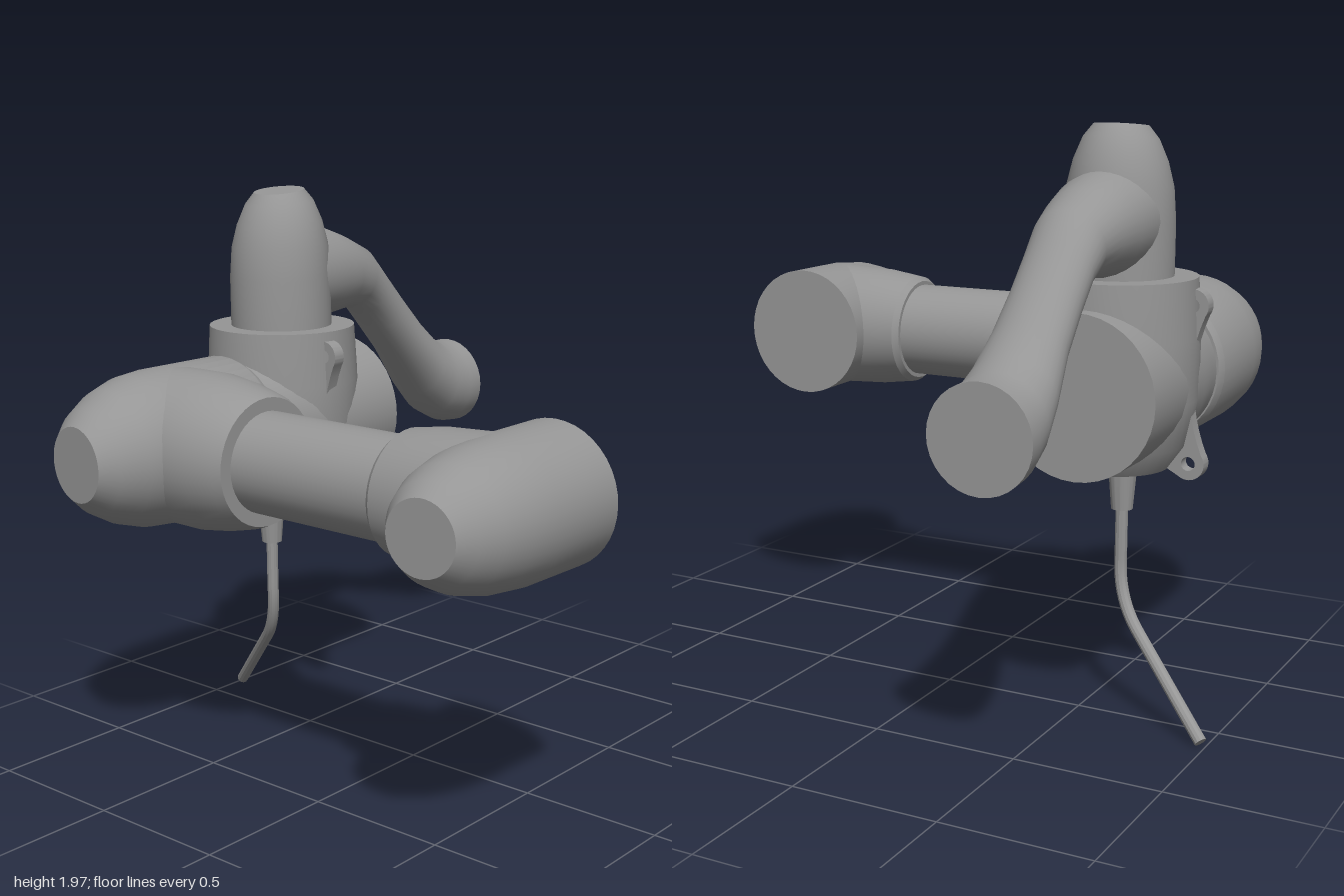
import * as THREE from 'three';
import { toCreasedNormals } from 'three/addons/utils/BufferGeometryUtils.js';

const grey = new THREE.MeshStandardMaterial({ color: 0x969696 });
grey.name = 'castGrey';

const BODY_X = -0.615, AXIS_Y = 1.15, ARM_Z = 0.53, ELBOW_X = 0.77;

function add(parent, name, geometry, x = 0, y = 0, z = 0) {
  const mesh = new THREE.Mesh(toCreasedNormals(geometry, 0.5), grey);
  mesh.name = name;
  mesh.position.set(x, y, z);
  parent.add(mesh);
  return mesh;
}

// Closed solid of revolution. Profile is [radius, distance along axis];
// tilt slants the far end: { from, x, z } are start distance and slopes.
function turned(profile, axis = 'y', tilt = null) {
  const first = profile[0], last = profile[profile.length - 1];
  const points = [[0, first[1]], ...profile, [0, last[1]]].map(p => new THREE.Vector2(...p));
  const g = new THREE.LatheGeometry(points, 40);
  if (tilt) {
    const p = g.attributes.position;
    for (let i = 0; i < p.count; i++) {
      const t = Math.max(0, (p.getY(i) - tilt.from) / (last[1] - tilt.from));
      p.setY(i, p.getY(i) + t * ((tilt.x || 0) * p.getX(i) + (tilt.z || 0) * p.getZ(i)));
    }
  }
  if (axis === 'z') g.rotateX(Math.PI / 2);
  if (axis === 'x') g.rotateZ(-Math.PI / 2);
  return g;
}

// Mounting plate with four holed ears joined by concave edges
function flangeGeometry() {
  const shape = new THREE.Shape();
  const ears = [[0.25, 0.255], [-0.25, 0.255], [-0.25, -0.255], [0.25, -0.255]];
  const pull = [[0, 0.17], [-0.2, 0], [0, -0.17], [0.2, 0]];
  const r = 0.053;
  ears.forEach(([x, y], i) => {
    const mid = Math.PI / 4 + i * Math.PI / 2;
    shape.absarc(x, y, r, mid - 1.4, mid + 1.4, false);
    const [nx, ny] = ears[(i + 1) % 4];
    const next = mid + Math.PI / 2 - 1.4;
    shape.quadraticCurveTo(...pull[i], nx + r * Math.cos(next), ny + r * Math.sin(next));
    const hole = new THREE.Path();
    hole.absarc(x, y, 0.023, 0, Math.PI * 2, true);
    shape.holes.push(hole);
  });
  return new THREE.ExtrudeGeometry(shape, { depth: 0.045, bevelEnabled: false, curveSegments: 12 });
}

// Swept spout: each ring is [upper z, upper y, lower z, lower y, half width]
function spoutGeometry() {
  const rings = [
    [-0.05, 1.84, -0.05, 1.495, 0.165], [-0.2, 1.82, -0.2, 1.5, 0.16],
    [-0.3, 1.785, -0.29, 1.51, 0.142], [-0.42, 1.73, -0.36, 1.512, 0.122],
    [-0.5, 1.645, -0.42, 1.48, 0.115], [-0.6, 1.54, -0.49, 1.405, 0.115],
    [-0.7, 1.435, -0.6, 1.29, 0.122], [-0.79, 1.355, -0.73, 1.125, 0.143],
    [-0.86, 1.32, -0.82, 1.03, 0.155], [-0.92, 1.31, -0.9, 0.99, 0.163],
    [-0.965, 1.31, -0.965, 0.983, 0.166]
  ];
  const N = 32, pos = [], idx = [];
  for (const [uz, uy, lz, ly, w] of rings) {
    for (let i = 0; i < N; i++) {
      const a = i / N * Math.PI * 2, c = Math.cos(a) / 2;
      pos.push(w * Math.sin(a), (uy + ly) / 2 + (uy - ly) * c, (uz + lz) / 2 + (uz - lz) * c);
    }
  }
  for (let k = 0; k < rings.length - 1; k++) {
    for (let i = 0; i < N; i++) {
      const a = k * N + i, b = k * N + (i + 1) % N;
      idx.push(a, b, a + N, b, b + N, a + N);
    }
  }
  // Flat end disc
  const end = (rings.length - 1) * N;
  for (let i = 1; i < N - 1; i++) idx.push(end, end + i, end + i + 1);
  const g = new THREE.BufferGeometry();
  g.setAttribute('position', new THREE.Float32BufferAttribute(pos, 3));
  g.setIndex(idx);
  return g;
}

export function createModel() {
  const model = new THREE.Group();
  model.name = 'jointedArm';

  // Central housing: crossing upright and horizontal barrels
  const housing = new THREE.Group();
  housing.name = 'housing';
  model.add(housing);
  add(housing, 'uprightBarrel', turned([[0.178, 0.87], [0.235, 0.95], [0.268, 1.1], [0.268, 1.3], [0.257, 1.49]]), BODY_X, 0, -0.01);
  add(housing, 'rearBarrel', turned([[0.265, -0.33], [0.265, 0.1], [0.245, 0.22], [0.24, 0.3]], 'z'), BODY_X, 1.145, 0);
  add(housing, 'mountingFlange', flangeGeometry(), BODY_X, 1.15, 0);

  // Shoulder head, sleeve and tube of the side arm
  const arm = new THREE.Group();
  arm.name = 'sideArm';
  model.add(arm);
  add(arm, 'shoulderHead', turned([[0.25, 0.265], [0.263, 0.29], [0.263, 0.6], [0.253, 0.71], [0.222, 0.81],
    [0.175, 0.895], [0.125, 0.95]], 'z', { from: 0.5, x: 0.1 }), BODY_X, AXIS_Y, 0);
  add(arm, 'shoulderSleeve', turned([[0.262, -0.62], [0.262, -0.4], [0.248, -0.3], [0.225, -0.2], [0.212, -0.17]], 'x'), 0, AXIS_Y, ARM_Z);
  add(arm, 'armTube', turned([[0.168, -0.3], [0.168, 0.55]], 'x'), 0, AXIS_Y, ARM_Z);
  add(arm, 'elbowSleeve', turned([[0.182, 0.405], [0.198, 0.425], [0.216, 0.55], [0.228, 0.77]], 'x'), 0, AXIS_Y, ARM_Z);
  add(arm, 'elbowHead', turned([[0.23, 0.27], [0.228, 0.55], [0.215, 0.68], [0.19, 0.78], [0.155, 0.85],
    [0.115, 0.9]], 'z', { from: 0.5, x: -0.1 }), ELBOW_X - 0.005, AXIS_Y, 0);

  // Upright post and the spout bending down behind it
  const wrist = new THREE.Group();
  wrist.name = 'rearArm';
  model.add(wrist);
  add(wrist, 'post', turned([[0.178, 1.47], [0.178, 1.66], [0.17, 1.77], [0.15, 1.85], [0.12, 1.92],
    [0.088, 1.96]], 'y', { from: 1.65, z: -0.11 }), BODY_X, 0, -0.007);
  add(wrist, 'spout', spoutGeometry(), BODY_X, 0, 0);

  // Cable boot and bent cable underneath
  add(model, 'cableBoot', turned([[0.036, 0.7], [0.052, 0.89]]), BODY_X, 0, 0.065);
  const cable = new THREE.CurvePath();
  const v = (x, y, z) => new THREE.Vector3(x, y, z);
  const top = v(BODY_X, 0.75, 0.065), bendA = v(BODY_X, 0.52, 0.065);
  const bendB = v(-0.7, 0.305, 0.012), tip = v(-0.985, 0.02, -0.13);
  cable.add(new THREE.LineCurve3(top, bendA));
  cable.add(new THREE.QuadraticBezierCurve3(bendA, v(BODY_X, 0.39, 0.058), bendB));
  cable.add(new THREE.LineCurve3(bendB, tip));
  add(model, 'cable', new THREE.TubeGeometry(cable, 40, 0.021, 12, false));
  const dir = tip.clone().sub(bendB).normalize();
  const cap = add(model, 'cableEnd', new THREE.CircleGeometry(0.021, 12), tip.x, tip.y, tip.z);
  cap.quaternion.setFromUnitVectors(v(0, 0, 1), dir);

  return model;
}
